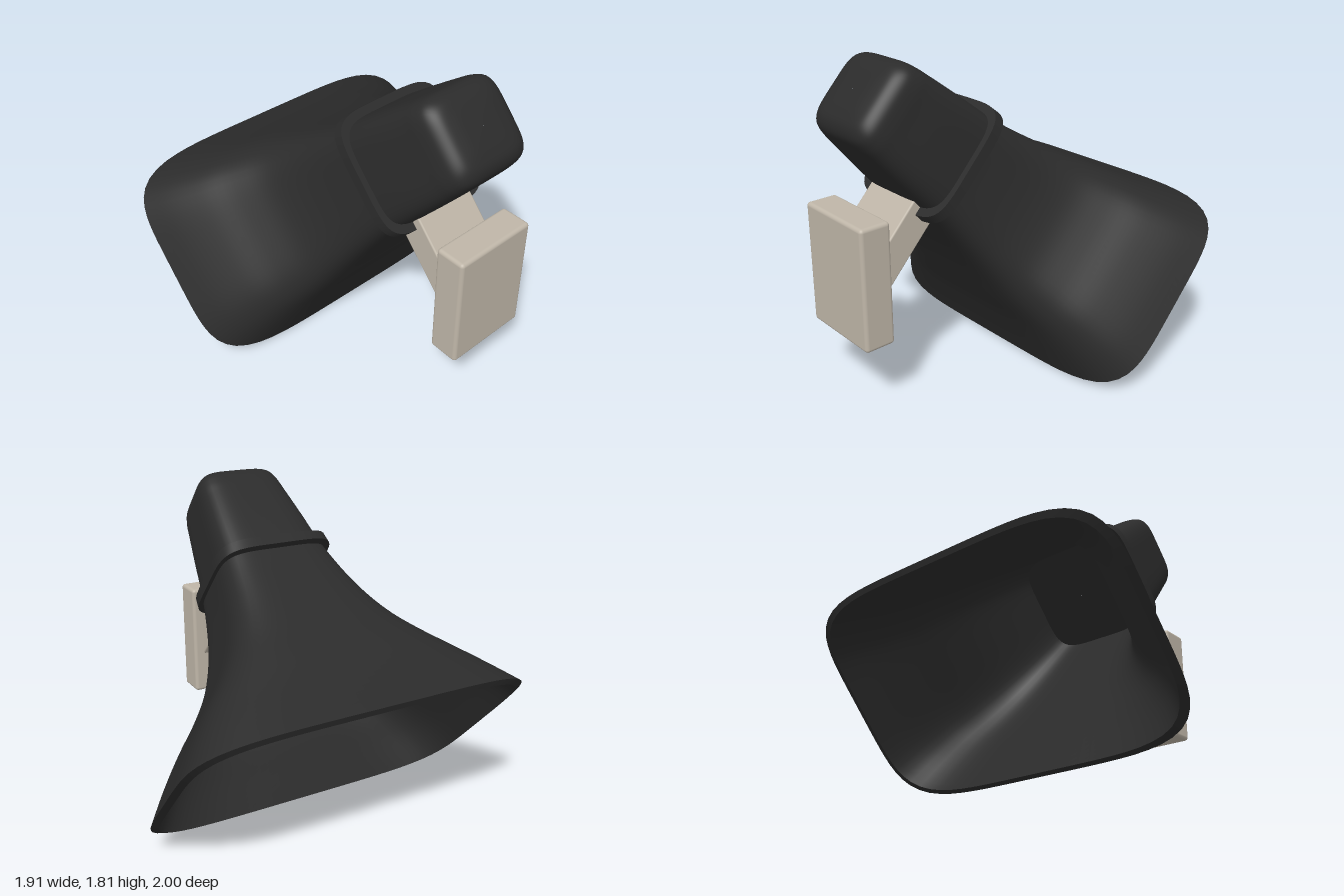
import * as THREE from 'three';
import { toCreasedNormals } from 'three/addons/utils/BufferGeometryUtils.js';
import { RoundedBoxGeometry } from 'three/addons/geometries/RoundedBoxGeometry.js';

const SIDES = 96;
const POWER = 5; // squareness of the rounded-rectangle section

// Skin a row of sections [position along axis, half height, half width]
function loft(sections) {
  const positions = [], index = [];
  for (const [s, h, w] of sections) {
    for (let j = 0; j < SIDES; j++) {
      const a = (j / SIDES) * Math.PI * 2;
      const c = Math.cos(a), d = Math.sin(a);
      const r = 1 / Math.pow(Math.abs(c) ** POWER + Math.abs(d) ** POWER, 1 / POWER);
      positions.push(s, h * r * d, w * r * c);
    }
  }
  for (let i = 0; i < sections.length - 1; i++) {
    for (let j = 0; j < SIDES; j++) {
      const a = i * SIDES + j, c = i * SIDES + ((j + 1) % SIDES);
      index.push(a, a + SIDES, c, c, a + SIDES, c + SIDES);
    }
  }
  const geometry = new THREE.BufferGeometry();
  geometry.setAttribute('position', new THREE.Float32BufferAttribute(positions, 3));
  geometry.setIndex(index);
  geometry.computeVertexNormals();
  return geometry;
}

// Smooth the sections with a spline
function smooth(sections, steps) {
  const curve = new THREE.CatmullRomCurve3(sections.map((p) => new THREE.Vector3(...p)));
  return curve.getPoints(steps).map((p) => p.toArray());
}

export function createModel() {
  const black = new THREE.MeshStandardMaterial({ color: 0x2b2b2b });
  black.name = 'black plastic';
  const beige = new THREE.MeshStandardMaterial({ color: 0xbfb6a8 });
  beige.name = 'beige metal';

  const model = new THREE.Group();
  model.name = 'hornSpeaker';
  const add = (parent, name, geometry, material) => {
    const mesh = new THREE.Mesh(geometry, material);
    mesh.name = name;
    parent.add(mesh);
    return mesh;
  };

  // Tilted assembly: +x runs from the mouth to the back cap
  const horn = new THREE.Group();
  horn.name = 'horn';
  horn.position.set(-0.53, 0.465, 0);
  horn.rotation.z = 0.745;
  model.add(horn);

  // Flared bell
  const bell = [
    [0, 0.625, 1], [0.15, 0.565, 0.89], [0.3, 0.51, 0.765], [0.45, 0.465, 0.625],
    [0.6, 0.42, 0.51], [0.75, 0.38, 0.435], [0.9, 0.345, 0.385],
    [1.05, 0.315, 0.35], [1.18, 0.295, 0.325],
  ];
  add(horn, 'bell', loft(smooth(bell, 40)), black);

  // Hollow inside of the bell with a closed throat
  const inside = bell.slice(0, -1).reverse().map(([s, h, w]) => [s, h - 0.03, w - 0.04]);
  inside[inside.length - 1][0] = -0.015;
  add(horn, 'bellInside', loft(smooth(inside, 36)), black);
  add(horn, 'throat', loft([[1.05, 0.001, 0.001], [1.05, 0.285, 0.31]]), black);
  add(horn, 'mouthLip', loft([[-0.015, 0.595, 0.96], [0, 0.625, 1]]), black);

  // Back cap with a softly rounded end
  const cap = [
    [1.18, 0.298, 0.32], [1.4, 0.276, 0.295], [1.6, 0.253, 0.268], [1.68, 0.242, 0.257],
    [1.74, 0.225, 0.238], [1.78, 0.185, 0.198], [1.797, 0.12, 0.13], [1.802, 0.001, 0.001],
  ];
  add(horn, 'backCap', loft(smooth(cap, 48)), black);

  // Raised band where the cap joins the bell
  const band = loft([
    [1.148, 0.28, 0.3], [1.148, 0.345, 0.355], [1.208, 0.34, 0.35], [1.208, 0.28, 0.3],
  ]);
  add(horn, 'collar', toCreasedNormals(band, 0.6), black);

  // Bracket arm square to the horn axis
  const arm = add(horn, 'bracketArm', new RoundedBoxGeometry(0.175, 0.49, 0.37, 2, 0.01), beige);
  arm.position.set(1.176, -0.51, 0);

  // Wall block
  const block = add(model, 'wallBlock', new RoundedBoxGeometry(0.175, 0.675, 0.49, 4, 0.02), beige);
  block.position.set(0.868, 0.738, 0);

  return model;
}
